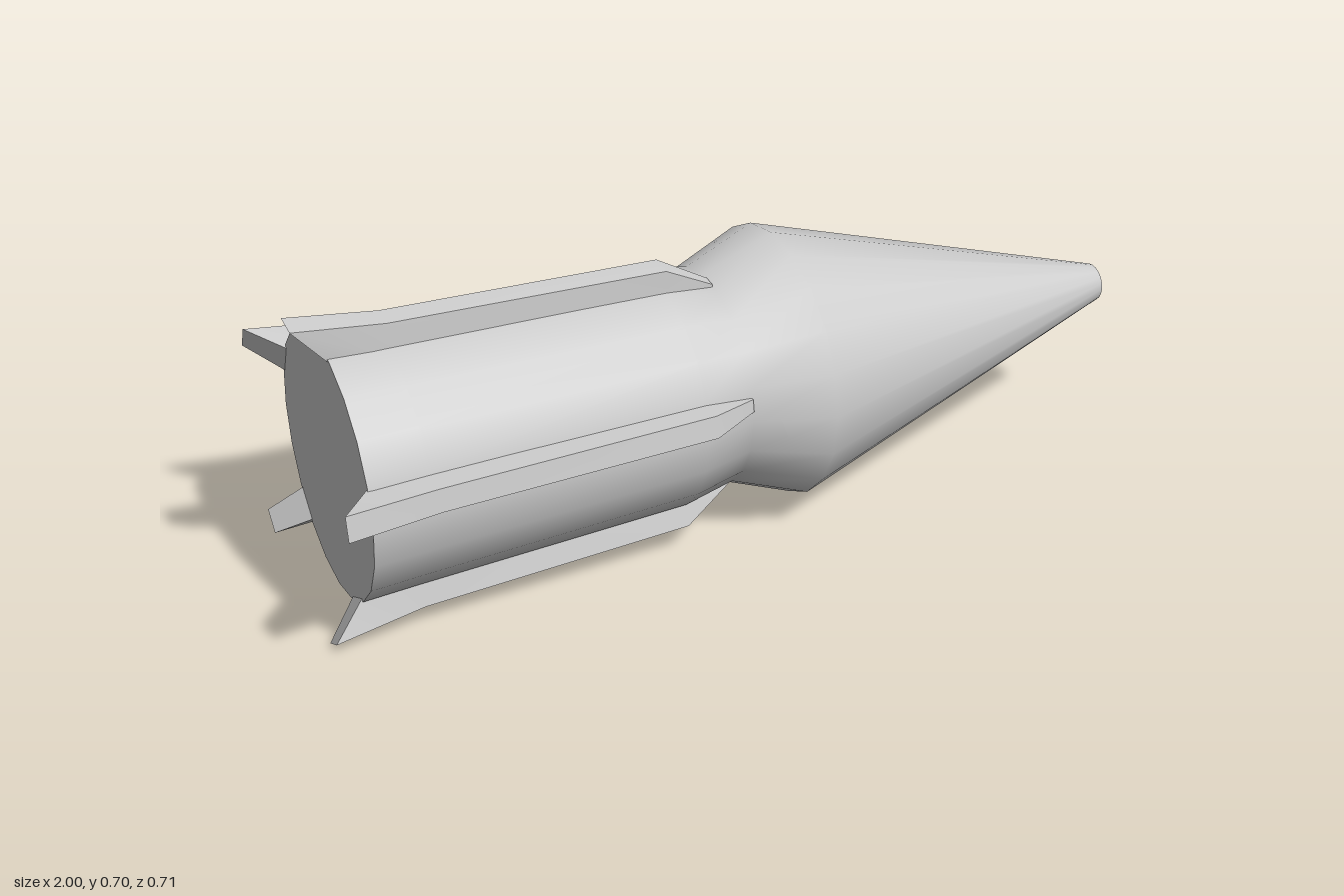
import * as THREE from 'three';
import { toCreasedNormals } from 'three/addons/utils/BufferGeometryUtils.js';

const SIDES = 20;
const material = new THREE.MeshStandardMaterial({ color: 0xcccccc, side: THREE.DoubleSide });

// Surface of revolution about the long (x) axis from [x, radius] pairs
function turned(name, profile) {
  const points = profile.map(([x, r]) => new THREE.Vector2(r, x));
  const mesh = new THREE.Mesh(new THREE.LatheGeometry(points, SIDES), material);
  mesh.rotation.z = -Math.PI / 2;
  mesh.name = name;
  return mesh;
}

// Fin pointing along +y, lofted through trapezoid sections from front to rear
function finGeometry() {
  // [base x, base radius, base half width, outer x, outer radius, outer half width]
  const sections = [
    [-0.06, 0.23, 0.018, -0.06, 0.25, 0.014],
    [-0.18, 0.245, 0.038, -0.18, 0.318, 0.025],
    [-0.80, 0.27, 0.042, -0.80, 0.338, 0.025],
    [-0.93, 0.285, 0.038, -1.00, 0.366, 0.028],
  ];
  const positions = [], index = [];
  for (const [bx, br, bw, ox, or, ow] of sections) {
    positions.push(bx, br, bw, ox, or, ow, ox, or, -ow, bx, br, -bw);
  }
  for (let s = 0; s < sections.length - 1; s++) {
    for (let k = 0; k < 4; k++) {
      const a = s * 4 + k, b = s * 4 + (k + 1) % 4;
      index.push(a, b, b + 4, a, b + 4, a + 4);
    }
  }
  const e = (sections.length - 1) * 4;
  index.push(0, 2, 1, 0, 3, 2, e, e + 1, e + 2, e, e + 2, e + 3);
  const geometry = new THREE.BufferGeometry();
  geometry.setAttribute('position', new THREE.Float32BufferAttribute(positions, 3));
  geometry.setIndex(index);
  return toCreasedNormals(geometry, Math.PI / 5);
}

export function createModel() {
  const model = new THREE.Group();
  model.name = 'rocket';
  const rocket = new THREE.Group();
  rocket.name = 'rocketBody';
  rocket.position.set(0, 0.346, -0.011);
  model.add(rocket);

  // Hull: flared barrel, waist and long nose cone
  rocket.add(turned('hull', [
    [-0.93, 0.295], [-0.8, 0.29], [-0.18, 0.272], [-0.06, 0.247], [0.11, 0.314], [1, 0.045],
  ]));

  // Shallow recess in the nose tip
  rocket.add(turned('noseRecess', [[1, 0.045], [0.96, 0.042], [0.955, 0]]));

  // Flat rear plate
  const plate = new THREE.Mesh(new THREE.CircleGeometry(0.295, SIDES), material);
  plate.rotation.y = -Math.PI / 2;
  plate.position.x = -0.93;
  plate.name = 'rearPlate';
  rocket.add(plate);

  // Five fins around the barrel
  const geometry = finGeometry();
  for (let i = 0; i < 5; i++) {
    const fin = new THREE.Mesh(geometry, material);
    fin.rotation.x = THREE.MathUtils.degToRad(8.5 + 72 * i);
    fin.name = 'fin' + (i + 1);
    rocket.add(fin);
  }
  return model;
}
